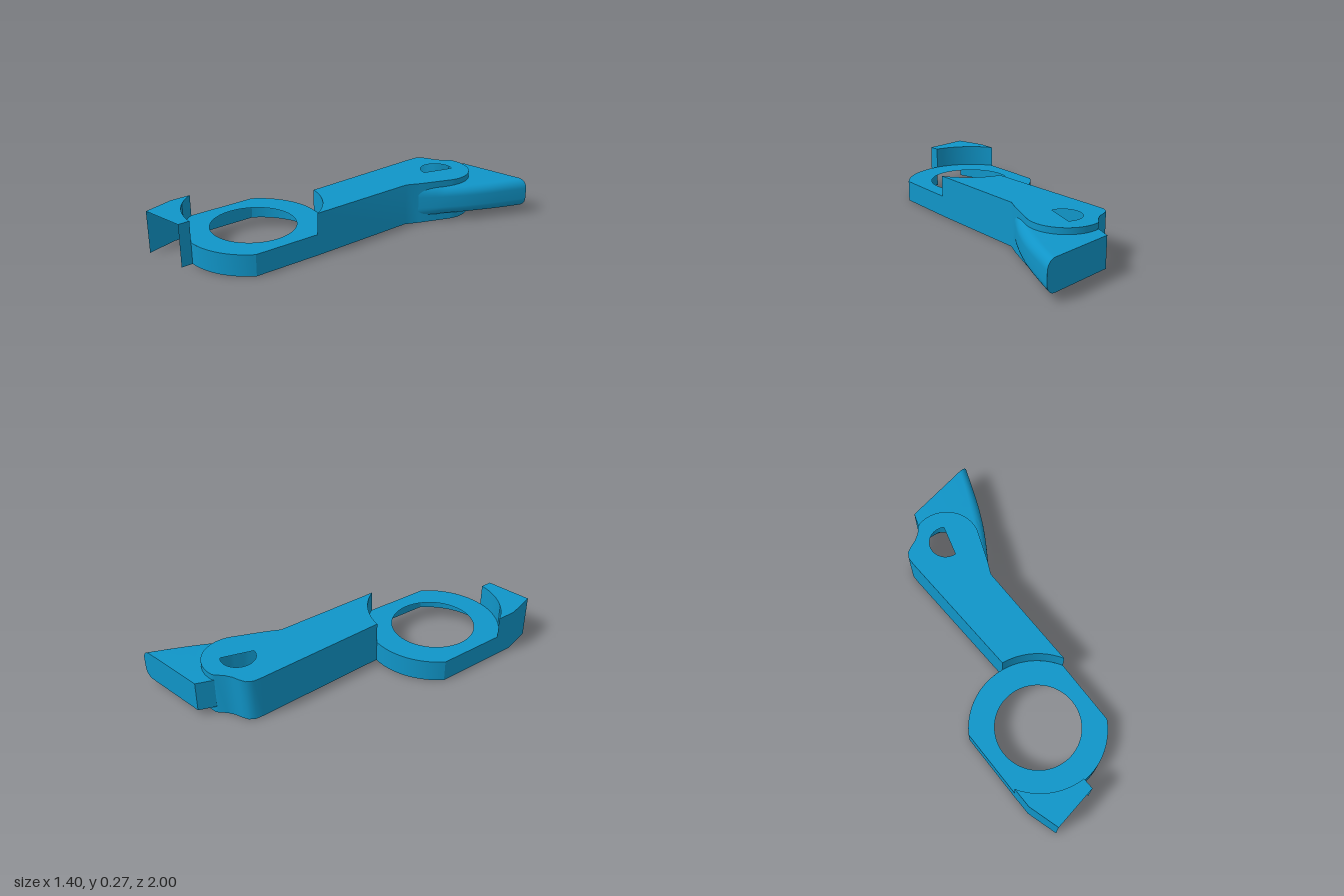
import * as THREE from 'three';
import { mergeVertices, toCreasedNormals } from 'three/addons/utils/BufferGeometryUtils.js';

const TOP = 0.27, STEP = 0.135;
const RING = [-0.295, 0.515, 0.42], EYE = [0.19, -0.695, 0.215];

const material = new THREE.MeshStandardMaterial({ color: 0x1095c8, side: THREE.DoubleSide });

// Points [x, z] along a circle, angles in degrees
function arc([cx, cz, r], a0, a1, n = 24) {
  return Array.from({ length: n + 1 }, (_, i) => {
    const a = THREE.MathUtils.degToRad(a0 + (a1 - a0) * i / n);
    return [cx + r * Math.cos(a), cz + r * Math.sin(a)];
  });
}

const toVectors = (pts) => pts.map(([x, z]) => new THREE.Vector2(x, -z));

// Flat plate at height y, with an optional round hole
function plate(pts, y, hole) {
  const shape = new THREE.Shape(toVectors(pts));
  if (hole) shape.holes.push(new THREE.Path(toVectors(arc(hole, 0, 360, 64).slice(0, -1))));
  return new THREE.ShapeGeometry(shape).rotateX(-Math.PI / 2).translate(0, y, 0);
}

// Skin over rows of equally many 3D points
function skin(rows, crease = 0.6) {
  const n = rows[0].length, index = [];
  for (let i = 0; i < rows.length - 1; i++) {
    for (let j = 0; j < n - 1; j++) {
      const a = i * n + j, b = a + n;
      index.push(a, b, a + 1, b, b + 1, a + 1);
    }
  }
  const g = new THREE.BufferGeometry();
  g.setAttribute('position', new THREE.Float32BufferAttribute(rows.flat(2), 3));
  g.setIndex(index);
  return toCreasedNormals(mergeVertices(g), crease);
}

// Upright wall following a path, outside on the left of travel
const wall = (pts, y0, y1) => skin([y1, y0].map((y) => pts.map(([x, z]) => [x, y, z])));

export function createModel() {
  const model = new THREE.Group();
  const add = (name, geometry, parent = model) => {
    const mesh = new THREE.Mesh(geometry, material);
    mesh.name = name;
    parent.add(mesh);
  };
  const part = (name) => {
    const g = new THREE.Group();
    g.name = name;
    model.add(g);
    return g;
  };

  // Low ring with flattened sides, hollow underneath
  const ring = part('ring');
  const backArc = arc(RING, 221.4, 340.1, 40), frontArc = arc(RING, 41.4, 158.1, 40);
  add('ringTop', plate([...backArc, ...frontArc], STEP, [RING[0], RING[1], 0.262]), ring);
  add('ringBackWall', wall(arc(RING, 221.4, 287.3), 0, STEP), ring);
  add('ringLeftWall', wall([backArc.at(-1), frontArc[0]], 0, STEP), ring);
  add('ringFrontWall', wall(arc(RING, 41.4, 101), 0, STEP), ring);
  add('ringRightWall', wall([frontArc.at(-1), backArc[0]], 0, STEP), ring);

  // Raised tail, open at its front end
  const tail = part('tail');
  const tailArc = arc(RING, 101, 158.1);
  const tailSide = [[-0.68, 1], [-0.705, 0.8], tailArc.at(-1)];
  const tailLip = [tailArc[0], [-0.385, 1]];
  add('tailTop', plate([...tailArc].reverse().concat(tailLip.slice(1), tailSide.slice(0, 2)), TOP), tail);
  add('tailSideWall', wall(tailSide, 0, TOP), tail);
  add('tailLipWall', wall(tailLip, 0, TOP), tail);
  add('tailStep', wall([...tailArc].reverse(), STEP, TOP), tail);

  // Raised arm ending in a round eye
  const arm = part('arm');
  const stepArc = arc(RING, 287.3, 340.1);
  const armSide = [
    stepArc[0], [-0.06, -0.74], [-0.05, -0.79], [-0.023, -0.823], [0.02, -0.838],
    [0.065, -0.847], [0.11, -0.868], [0.15, -0.9],
    ...arc(EYE, 264, 387, 32), [0.27, -0.41], [0.215, -0.33], stepArc.at(-1),
  ];
  add('armTop', plate([...armSide, ...[...stepArc].reverse().slice(1, -1)], TOP, [EYE[0], EYE[1], 0.105]), arm);
  add('armWall', wall(armSide, 0, TOP), arm);
  add('armStep', wall([...stepArc].reverse(), STEP, TOP), arm);

  // Hook: sections between an inner line and a rounded outer curve
  const hook = part('hook');
  const outer = new THREE.CatmullRomCurve3([
    [0.7, -1], [0.63, -0.88], [0.56, -0.765], [0.485, -0.655], [0.41, -0.56], [0.34, -0.48], [0.265, -0.4],
  ].map(([x, z]) => new THREE.Vector3(x, 0, z)));
  const inner = [[0.21, -1], [0.155, -0.9], [0.28, -0.87], [0.36, -0.79], [0.37, -0.62], [0.325, -0.52], [0.255, -0.42]];
  const LOW = 0.043, HIGH = 0.232, R = 0.06, rows = [];
  for (let i = 0; i <= 24; i++) {
    const k = Math.min(Math.floor(i / 4), 5), f = i / 4 - k;
    const a = new THREE.Vector3(
      THREE.MathUtils.lerp(inner[k][0], inner[k + 1][0], f), 0,
      THREE.MathUtils.lerp(inner[k][1], inner[k + 1][1], f));
    const p = outer.getPoint(i / 24);
    const inward = a.clone().sub(p);
    const r = Math.min(R, inward.length());
    inward.normalize();
    const row = [[a.x, HIGH, a.z]];
    for (const [base, from] of [[HIGH - R, 90], [LOW + R, 0]]) {
      for (let j = 0; j <= 8; j++) {
        const t = THREE.MathUtils.degToRad(from - j * 11.25);
        const q = p.clone().addScaledVector(inward, r * (1 - Math.cos(t)));
        row.push([q.x, base + R * Math.sin(t), q.z]);
      }
    }
    row.push([a.x, LOW, a.z], [a.x, HIGH, a.z]);
    rows.push(row);
  }
  add('hookBody', skin(rows.map((row) => [...row].reverse())), hook);
  // Flat end of the hook, facing backwards
  const end = new THREE.Shape(rows[0].slice(0, -1).map(([x, y]) => new THREE.Vector2(-x, y)));
  add('hookEnd', new THREE.ShapeGeometry(end).rotateY(Math.PI).translate(0, 0, -1), hook);

  return model;
}
